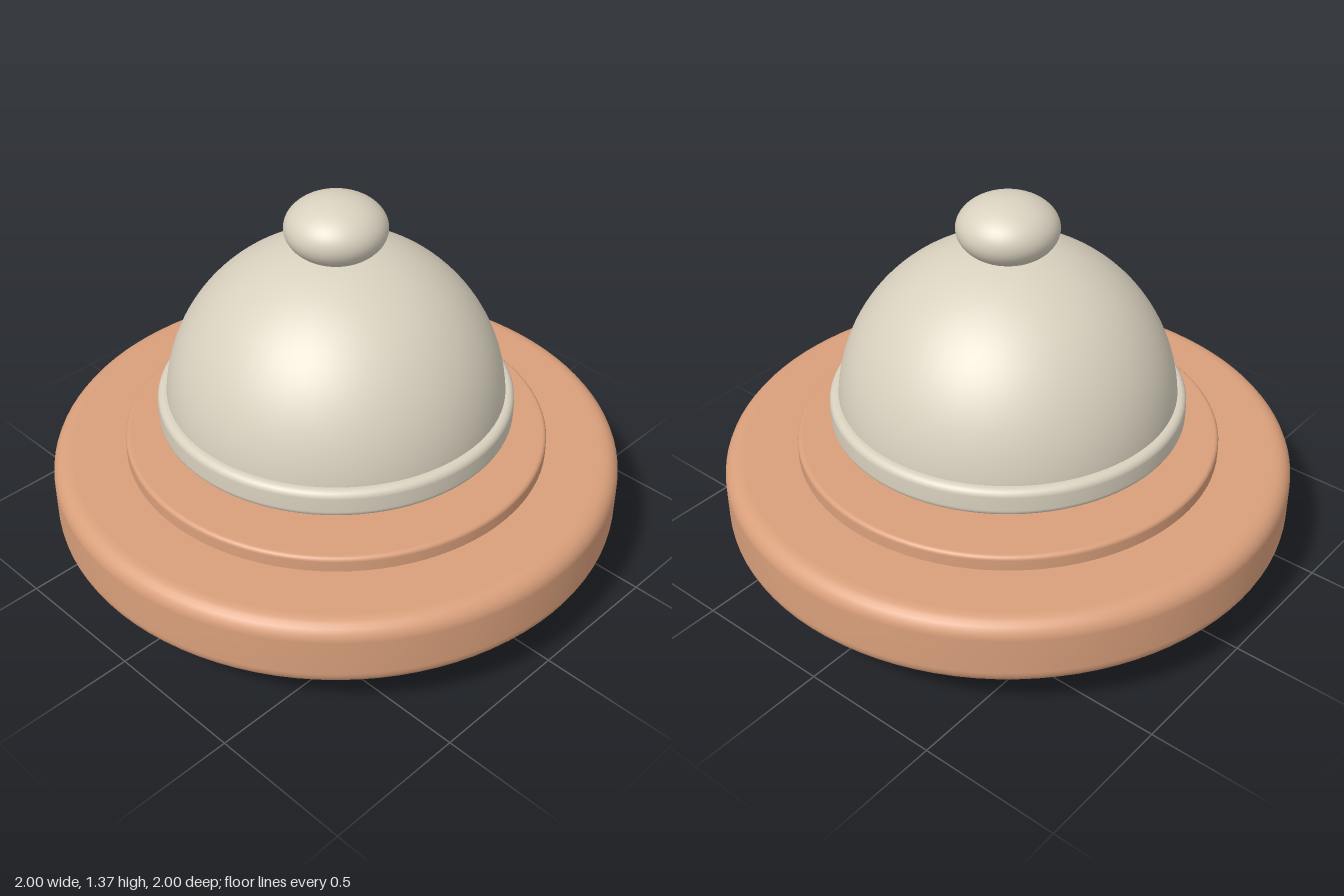
import * as THREE from 'three';

const SEGMENTS = 96;

// Solid disc from y0 to y1 with rounded bottom and top edges
function roundedDisc(radius, y0, y1, round) {
  const points = [new THREE.Vector2(0, y0), new THREE.Vector2(radius - round - 0.01, y0)];
  const corner = (cy, start) => {
    for (let i = 0; i <= 6; i++) {
      const a = start + (i / 6) * Math.PI / 2;
      points.push(new THREE.Vector2(radius - round + round * Math.cos(a), cy + round * Math.sin(a)));
    }
  };
  corner(y0 + round, -Math.PI / 2);
  corner(y1 - round, 0);
  points.push(new THREE.Vector2(radius - round - 0.01, y1), new THREE.Vector2(0, y1));
  return new THREE.LatheGeometry(points, SEGMENTS);
}

export function createModel() {
  const model = new THREE.Group();
  model.name = 'coveredDish';

  const clay = new THREE.MeshStandardMaterial({ color: 0xd99f7b });
  clay.name = 'clay';
  const cream = new THREE.MeshStandardMaterial({ color: 0xd9d1bf });
  cream.name = 'cream';

  const add = (name, geometry, material, y = 0) => {
    const mesh = new THREE.Mesh(geometry, material);
    mesh.name = name;
    mesh.position.y = y;
    model.add(mesh);
  };

  // Stand
  add('foot', roundedDisc(0.625, 0, 0.22, 0.055), clay);
  add('plate', roundedDisc(1, 0.18, 0.43, 0.06), clay);
  add('plateStep', roundedDisc(0.742, 0.4, 0.483, 0.015), clay);

  // Lid, hovering just above the plate
  add('lidRim', roundedDisc(0.62, 0.545, 0.645, 0.025), cream);
  add('dome', new THREE.SphereGeometry(0.59, SEGMENTS, 32, 0, Math.PI * 2, 0, Math.PI / 2), cream, 0.6);
  const knob = new THREE.SphereGeometry(0.173, 48, 32);
  knob.scale(1, 0.64, 1);
  add('knob', knob, cream, 1.255);

  return model;
}
